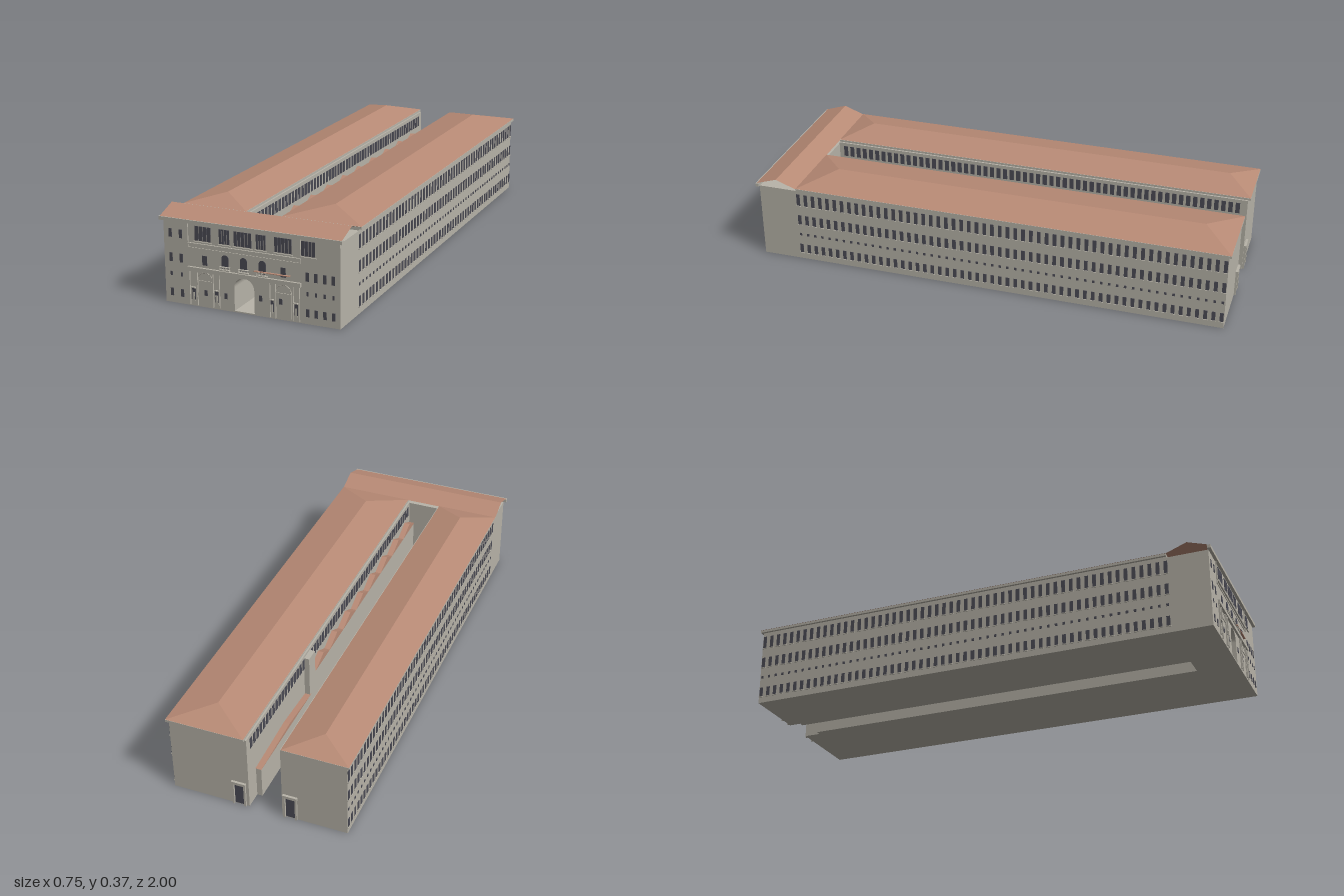
import * as THREE from 'three';
import { mergeGeometries } from 'three/addons/utils/BufferGeometryUtils.js';

const mat = (name, color) => {
  const m = new THREE.MeshStandardMaterial({ color, side: THREE.DoubleSide, flatShading: true });
  m.name = name;
  return m;
};

// box given by its min and max on each axis
function block(x0, x1, y0, y1, z0, z1) {
  const g = new THREE.BoxGeometry(x1 - x0, y1 - y0, z1 - z0);
  return g.translate((x0 + x1) / 2, (y0 + y1) / 2, (z0 + z1) / 2);
}

// flat faces (triangles or quads) from a short list of corners
function faces(points, list) {
  const pos = [];
  for (const f of list)
    for (let i = 1; i < f.length - 1; i++)
      pos.push(...points[f[0]], ...points[f[i]], ...points[f[i + 1]]);
  const g = new THREE.BufferGeometry();
  g.setAttribute('position', new THREE.Float32BufferAttribute(pos, 3));
  g.computeVertexNormals();
  return g;
}

// upright outline with a round top
function archShape(shape, cx, r, y0, spring) {
  shape.moveTo(cx - r, y0);
  shape.lineTo(cx + r, y0);
  shape.lineTo(cx + r, spring);
  shape.absarc(cx, spring, r, 0, Math.PI, false);
  shape.lineTo(cx - r, y0);
  return shape;
}

export function createModel() {
  const stone = mat('stone', 0xb8b4a9);
  const tile = mat('roof tile', 0xb98b76);
  const glass = mat('dark glass', 0x4c4c56);
  const root = new THREE.Group();
  const add = (name, geos, material) => {
    const m = new THREE.Mesh(Array.isArray(geos) ? mergeGeometries(geos) : geos, material);
    m.name = name;
    root.add(m);
  };

  const FZ = 0.988; // front wall plane
  const BACK = -0.99, JOIN = 0.82;

  // front block with the arched passage
  const wall = new THREE.Shape();
  wall.moveTo(-0.362, 0);
  wall.lineTo(0.362, 0);
  wall.lineTo(0.362, 0.325);
  wall.lineTo(-0.362, 0.325);
  wall.closePath();
  wall.holes.push(archShape(new THREE.Path(), -0.027, 0.0415, 0.005, 0.096));
  const front = new THREE.ExtrudeGeometry(wall, { depth: FZ - JOIN, bevelEnabled: false, curveSegments: 16 });
  add('frontBlock', front.translate(0, 0, JOIN), stone);

  // open-ended gable roof over the front block
  add('frontRoof', faces([
    [-0.372, 0.34, 0.996], [0.372, 0.34, 0.996], [0.372, 0.37, 0.906],
    [-0.372, 0.37, 0.906], [0.372, 0.338, 0.82], [-0.372, 0.338, 0.82],
  ], [[0, 1, 2, 3], [3, 2, 4, 5]]), tile);
  add('frontCornice', [block(-0.375, 0.375, 0.326, 0.34, 0.986, 1)], stone);

  // two long wings: [name, wall x range, roof x range, hip depth]
  const wings = [
    ['rightWing', -0.362, -0.095, -0.372, -0.105 + 0.003, 0.11],
    ['leftWing', 0.042, 0.362, 0.052 - 0.003, 0.372, 0.13],
  ];
  for (const [name, x0, x1, r0, r1, hip] of wings) {
    add(name, block(x0, x1, 0, 0.33, BACK, JOIN), stone);
    add(name + 'Eaves', block(r0, r1, 0.329, 0.339, -1, JOIN), stone);
    const c = (r0 + r1) / 2;
    add(name + 'Roof', faces([
      [r0, 0.34, JOIN], [r1, 0.34, JOIN], [r1, 0.34, -1], [r0, 0.34, -1],
      [c, 0.372, JOIN - hip], [c, 0.372, -1 + hip],
    ], [[0, 1, 4], [1, 2, 5, 4], [2, 3, 5], [3, 0, 4, 5]]), tile);
  }

  // rows of windows along the outer walls
  const rows = [[0.257, 0.31], [0.166, 0.21], [0.113, 0.124], [0.03, 0.07]];
  const outer = [], sills = [];
  const N = 56;
  for (const s of [-1, 1])
    for (let i = 0; i < N; i++) {
      const z = 0.815 - i * (1.795 / (N - 1));
      for (const [y0, y1] of rows) {
        const w = y1 - y0 < 0.02 ? 0.005 : 0.0075;
        const x = s * 0.3625;
        outer.push(block(x - 0.0015, x + 0.0015, y0, y1, z - w, z + w));
        if (w > 0.006) sills.push(block(x - 0.003, x + 0.003, y0 - 0.005, y0 - 0.001, z - 0.01, z + 0.01));
      }
    }
  add('sideWindows', outer, glass);
  add('sideSills', sills, stone);

  // upper windows facing the courtyard
  const inner = [];
  for (const x of [-0.0945, 0.0415])
    for (let i = 0; i < 60; i++) {
      const z = 0.79 - i * 0.0295;
      inner.push(block(x - 0.0015, x + 0.0015, 0.268, 0.315, z - 0.009, z + 0.009));
    }
  add('courtyardWindows', inner, glass);

  // low courtyard ranges with small repeated gables
  const gables = (x0, x1, z0, z1, n, eave, ridge) => {
    const out = [], d = (z1 - z0) / n;
    for (let i = 0; i < n; i++) {
      const a = z0 + i * d, b = a + d, m = a + d * 0.55;
      out.push(faces([
        [x0, eave, a], [x1, eave, a], [x0, ridge, m], [x1, ridge, m], [x0, eave, b], [x1, eave, b],
      ], [[0, 2, 3, 1], [2, 4, 5, 3], [0, 4, 2], [1, 3, 5]]));
    }
    return out;
  };
  add('rightRange', block(-0.097, -0.075, 0, 0.22, -0.94, JOIN), stone);
  add('rightRangeRoof', gables(-0.097, -0.072, -0.94, JOIN, 11, 0.221, 0.255), tile);
  add('leftRange', block(0.02, 0.044, 0, 0.22, -0.38, JOIN), stone);
  add('leftRangeRoof', gables(0.017, 0.044, -0.38, JOIN, 8, 0.221, 0.255), tile);
  add('leftRearRange', block(0.02, 0.044, 0, 0.138, -0.92, -0.43), stone);
  add('leftRearRangeRoof', gables(0.017, 0.044, -0.925, -0.43, 1, 0.139, 0.155), tile);
  add('stairTower', block(0.02, 0.048, 0, 0.32, -0.44, -0.38), stone);

  // rear doors with small canopies
  const doors = [], porch = [];
  for (const x of [0.082, -0.13]) {
    doors.push(block(x - 0.018, x + 0.018, 0.005, 0.095, -0.993, -0.989));
    porch.push(block(x - 0.03, x + 0.03, 0.1, 0.112, -1, -0.985));
    for (const s of [-1, 1]) porch.push(block(x + s * 0.024 - 0.004, x + s * 0.024 + 0.004, 0, 0.1, -0.998, -0.988));
  }
  add('rearDoors', doors, glass);
  add('rearPorches', porch, stone);

  // front windows: plain openings by centre, width and height range
  const panes = [], trim = [];
  const pane = (x, w, y0, y1) => panes.push(block(x - w / 2, x + w / 2, y0, y1, FZ - 0.001, FZ + 0.002));
  const band = (x0, x1, y0, y1, d = 0.005) => trim.push(block(x0, x1, y0, y1, FZ - 0.001, FZ + d));
  for (const x of [-0.334, -0.29, 0.232, 0.266, 0.301, 0.335]) {
    if (x < 0) pane(x, 0.013, 0.261, 0.294);
    pane(x, 0.013, 0.165, 0.199);
    pane(x, 0.008, 0.109, 0.125);
    pane(x, 0.013, 0.028, 0.058);
  }
  for (const x of [-0.19, 0.135]) pane(x, 0.02, 0.167, 0.204);
  for (const [x, y] of [[-0.188, 0.058], [-0.104, 0.058], [0.041, 0.071], [0.123, 0.071]]) pane(x, 0.012, y - 0.011, y + 0.011);

  // grouped top-floor windows: start, end, number of panes
  for (const [a, b, n] of [[-0.23, -0.161, 4], [-0.128, -0.083, 4], [-0.066, 0.008, 5],
    [0.025, 0.066, 4], [0.1, 0.171, 5], [0.208, 0.265, 4]]) {
    const d = (b - a) / n;
    for (let i = 0; i < n; i++) pane(a + (i + 0.5) * d, d - 0.0025, 0.261, 0.317);
    band(a - 0.004, b + 0.004, 0.254, 0.258);
  }

  // central arched windows with balconies
  const arches = [];
  for (const x of [-0.104, -0.027, 0.05]) {
    const g = new THREE.ExtrudeGeometry(archShape(new THREE.Shape(), x, 0.0145, 0.166, 0.204), { depth: 0.003, bevelEnabled: false });
    arches.push(g.translate(0, 0, FZ - 0.001));
    band(x - 0.022, x + 0.022, 0.159, 0.163, 0.011);
    band(x - 0.021, x + 0.021, 0.172, 0.174, 0.01);
    for (let i = 0; i < 9; i++) {
      const bx = x - 0.02 + i * 0.005;
      trim.push(block(bx - 0.0008, bx + 0.0008, 0.163, 0.172, FZ + 0.007, FZ + 0.009));
    }
  }
  add('archedWindows', arches, glass);
  add('awning', block(0.018, 0.164, 0.175, 0.1775, FZ, FZ + 0.01), tile);

  // portico entablature, upper frame and pilasters
  band(-0.26, 0.207, 0.14, 0.156, 0.009);
  band(-0.26, 0.207, 0.229, 0.232, 0.003);
  band(-0.26, 0.207, 0.243, 0.25, 0.006);
  for (const x of [-0.26, 0.204]) band(x, x + 0.003, 0.232, 0.326);
  for (const x of [-0.256, -0.224, -0.157, -0.131, 0.079, 0.102, 0.174, 0.199])
    band(x - 0.002, x + 0.002, 0.005, 0.14, 0.006);

  // side doorways with slim surrounds
  for (const x of [-0.24, -0.142, 0.087, 0.186]) {
    pane(x, 0.014, 0.026, 0.072);
    trim.push(block(x - 0.004, x + 0.004, 0.02, 0.055, FZ, FZ + 0.004));
    band(x - 0.009, x + 0.009, 0.072, 0.076, 0.007);
  }

  // blind arches
  for (const x of [-0.19, 0.135]) {
    const ring = new THREE.TorusGeometry(0.032, 0.0016, 4, 16, Math.PI).translate(x, 0.105, FZ);
    trim.push(ring);
    band(x - 0.034, x + 0.034, 0.102, 0.105, 0.003);
    for (const s of [-1, 1]) band(x + s * 0.032 - 0.001, x + s * 0.032 + 0.001, 0.005, 0.104, 0.003);
  }
  add('frontWindows', panes, glass);
  add('frontTrim', trim, stone);
  return root;
}
